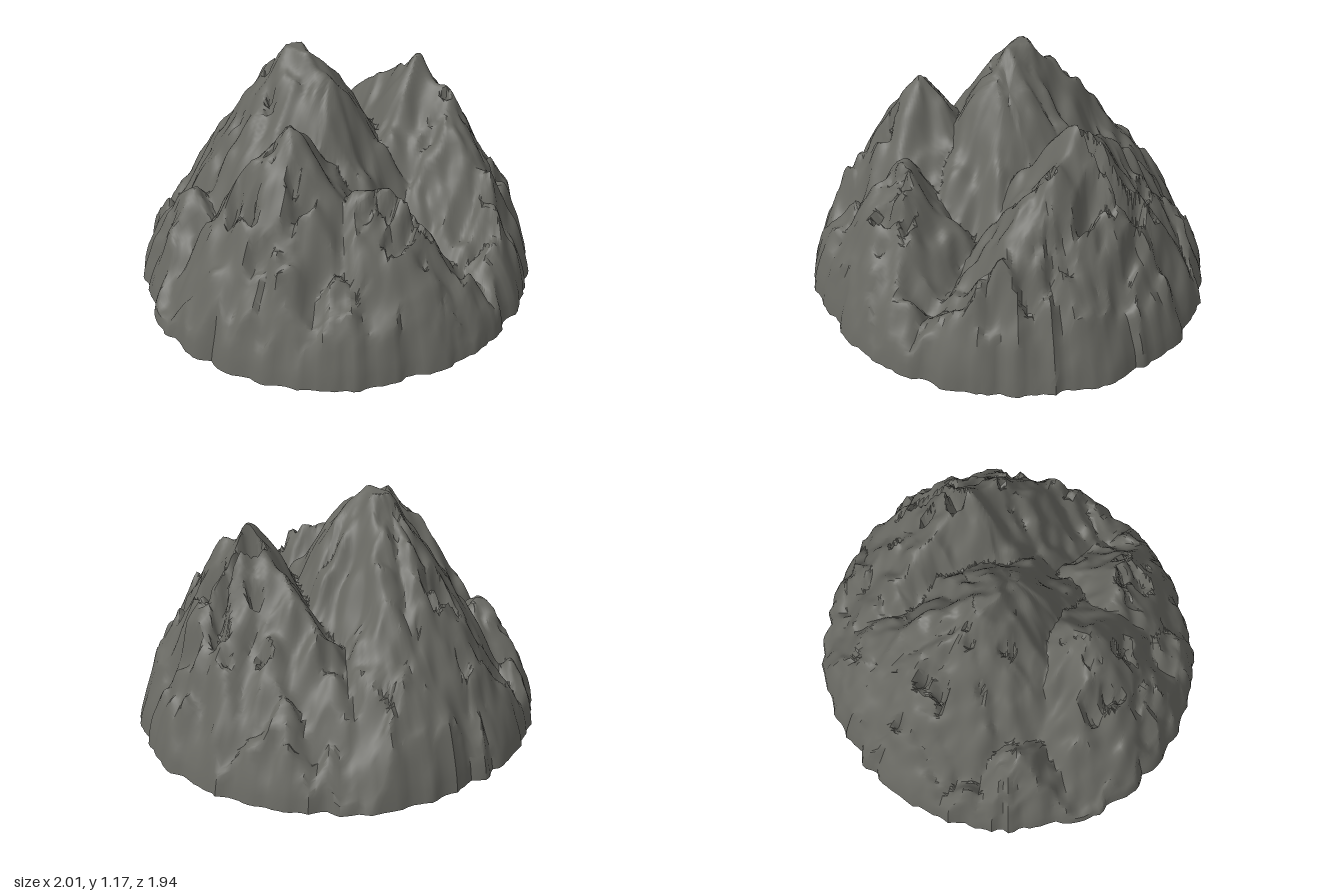
import * as THREE from 'three';
import { mergeVertices, toCreasedNormals } from 'three/addons/utils/BufferGeometryUtils.js';

// Seeded value noise, smooth, range -1..1
function hash(i, j, seed) {
  let n = Math.imul(i, 374761393) + Math.imul(j, 668265263) + Math.imul(seed, 144269504);
  n = Math.imul(n ^ (n >>> 13), 1274126177);
  return ((n ^ (n >>> 16)) >>> 0) / 2147483648 - 1;
}
function noise(x, z, seed) {
  const i = Math.floor(x), j = Math.floor(z);
  const u = x - i, v = z - j;
  const su = u * u * (3 - 2 * u), sv = v * v * (3 - 2 * v);
  const a = THREE.MathUtils.lerp(hash(i, j, seed), hash(i + 1, j, seed), su);
  const b = THREE.MathUtils.lerp(hash(i, j + 1, seed), hash(i + 1, j + 1, seed), su);
  return THREE.MathUtils.lerp(a, b, sv);
}

// Ridge lines, each a path of [x, z, height] points
const ridgeLines = [
  [[-0.06, -0.03, 1.06], [-0.05, -0.13, 1.16], [-0.04, -0.22, 1.18], [0.02, -0.48, 0.88], [-0.08, -0.72, 0.53]], // main summit
  [[-0.04, -0.22, 1.18], [0.2, -0.46, 0.82], [0.3, -0.62, 0.56]],                   // its back spur
  [[-0.44, 0.06, 1.02]],                                                          // left summit
  [[-0.36, 0.36, 0.74], [-0.28, 0.48, 0.75]],                                      // left front shoulder
  [[0.38, 0.38, 0.89], [0.43, 0.16, 1.04], [0.46, -0.08, 0.83], [0.47, -0.3, 0.65]], // right summit
  [[0.31, 0.59, 0.62], [0.3, 0.73, 0.58]],                                         // right front shoulder
  [[-0.52, -0.45, 0.56]], [[-0.33, 0.74, 0.35]], [[0.13, 0.8, 0.36]],
  [[0.64, 0.53, 0.41]], [[-0.62, 0.45, 0.44]], [[0.7, -0.3, 0.42]],
];
// Small foothills around the rim
for (let k = 0; k < 26; k++) {
  const a = (k + 0.35 * hash(k, 1, 7)) / 26 * Math.PI * 2;
  const r = 0.84 + 0.05 * hash(k, 2, 7);
  ridgeLines.push([[Math.cos(a) * r, Math.sin(a) * r, 0.25 + 0.07 * hash(k, 3, 7)]]);
}
// Straight pieces of the ridges; a lone point is a cone
const ridges = ridgeLines.flatMap((line) =>
  line.length === 1 ? [[line[0], line[0]]] : line.slice(1).map((p, i) => [line[i], p]));

// Height of one ridge piece: falls away, steeper with distance
function ridgeHeight(x, z, [p, q], k) {
  const ex = q[0] - p[0], ez = q[1] - p[1];
  const len2 = ex * ex + ez * ez;
  const t = len2 ? THREE.MathUtils.clamp(((x - p[0]) * ex + (z - p[1]) * ez) / len2, 0, 1) : 0;
  const dx = x - p[0] - t * ex, dz = z - p[1] - t * ez;
  const a = Math.atan2(dz, dx);
  let d = Math.hypot(dx, dz) * (1 + 0.05 * Math.sin(5 * a + k * 1.7) + 0.03 * Math.sin(9 * a + k));
  d = Math.hypot(d, 0.02) - 0.02;
  return THREE.MathUtils.lerp(p[2], q[2], t) - 1.33 * d - 0.63 * d * d;
}

// Uneven rim of the base in direction (c, s)
function rimRadius(c, s) {
  return 0.972 + 0.014 * noise(c * 5, s * 5, 11) + 0.014 * noise(c * 13, s * 13, 12) + 0.012 * noise(c * 27, s * 27, 13);
}

// Height of the rock: highest of all the ridges, cut by the steep rim
function rockHeight(x, z, edge) {
  const wx = x + 0.026 * noise(x * 6, z * 6, 1) + 0.018 * noise(x * 14, z * 14, 2);
  const wz = z + 0.026 * noise(x * 6, z * 6, 3) + 0.018 * noise(x * 14, z * 14, 4);
  let h = 0.34 * Math.pow(1 - Math.min(1, wx * wx + wz * wz), 0.6);
  ridges.forEach((ridge, k) => {
    h = Math.max(h, ridgeHeight(wx, wz, ridge, k));
  });
  // rocky lumps with sharp creases between them
  h += 0.04 * (0.4 - Math.abs(noise(x * 8, z * 8, 5))) + 0.022 * noise(x * 16, z * 16, 6);
  const skirt = Math.pow(Math.max(0, edge), 0.72) * (1.65 + 0.4 * noise(x * 9, z * 9, 8) + 0.25 * noise(x * 20, z * 20, 9));
  return Math.max(0, Math.min(h, skirt, 1.17));
}

// Disc whose rim follows the base outline, with a height rule
function discGeometry(segments, rings, heightAt) {
  const geo = new THREE.RingGeometry(0, 1, segments, rings);
  geo.deleteAttribute('uv');
  geo.deleteAttribute('normal');
  const p = geo.attributes.position;
  for (let i = 0; i < p.count; i++) {
    const t = Math.hypot(p.getX(i), p.getY(i));
    const c = t > 0 ? p.getX(i) / t : 1, s = t > 0 ? -p.getY(i) / t : 0;
    const R = rimRadius(c, s), r = R * Math.pow(t, 0.8);
    const x = r * c * 1.018, z = r * s * 0.992;
    p.setXYZ(i, x, t > 0.9999 ? 0 : heightAt(x, z, R - r), z);
  }
  return mergeVertices(geo, 1e-5);
}

export function createModel() {
  const model = new THREE.Group();
  model.name = 'rockyMountain';
  const rock = new THREE.MeshStandardMaterial({ color: 0x686862 });
  rock.name = 'darkGreyRock';

  // Mountain surface
  const mountain = new THREE.Mesh(toCreasedNormals(discGeometry(220, 72, rockHeight), 0.75), rock);
  mountain.name = 'mountain';
  model.add(mountain);

  // Flat underside, turned to face down
  const under = discGeometry(220, 1, () => 0);
  const idx = under.index;
  for (let i = 0; i < idx.count; i += 3) {
    const b = idx.getX(i + 1);
    idx.setX(i + 1, idx.getX(i + 2));
    idx.setX(i + 2, b);
  }
  const base = new THREE.Mesh(toCreasedNormals(under, 0.5), rock);
  base.name = 'underside';
  model.add(base);

  return model;
}
